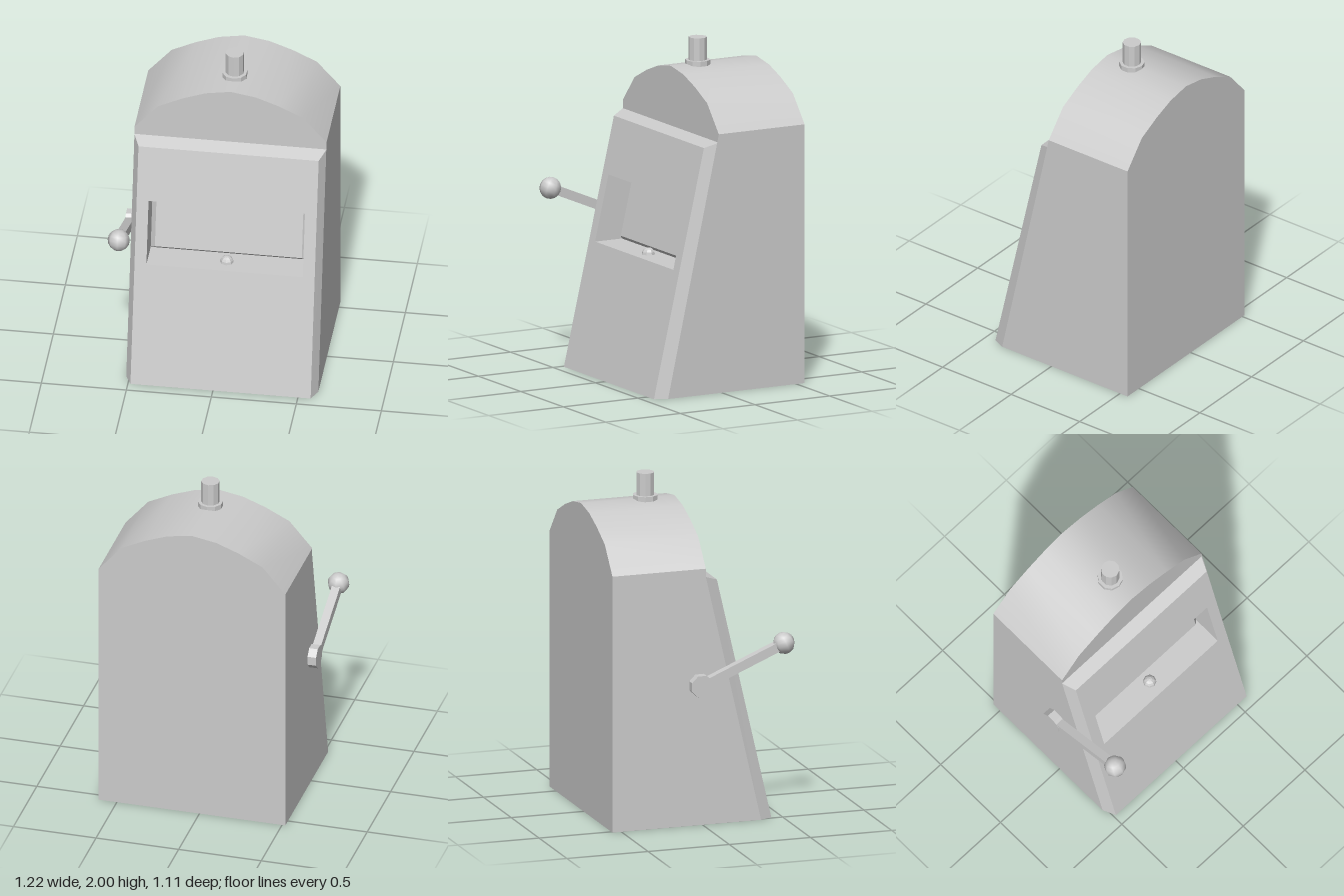
import * as THREE from 'three';

const CX = 0.045;                                  // centre line of the cabinet
const LEFT = 0.61, RIGHT = -0.52;                  // cabinet sides
const BACK = -0.555, STEP = 0.02;                  // back plane, front plane of the arch
const frontZ = (y) => 0.435 - 0.2295 * y;          // sloped front panel

const shell = new THREE.MeshStandardMaterial({ color: 0xcccccc, flatShading: true, side: THREE.DoubleSide });
const smooth = new THREE.MeshStandardMaterial({ color: 0xcccccc, side: THREE.DoubleSide });

export function createModel() {
  const model = new THREE.Group();

  const add = (name, geometry, material = shell, parent = model) => {
    const mesh = new THREE.Mesh(geometry, material);
    mesh.name = name;
    parent.add(mesh);
    return mesh;
  };

  // Flat polygons, each a convex fan of corners in counter-clockwise order
  const faces = (...polygons) => {
    const pos = [];
    for (const p of polygons) {
      for (let i = 1; i < p.length - 1; i++) pos.push(...p[0], ...p[i], ...p[i + 1]);
    }
    const g = new THREE.BufferGeometry();
    g.setAttribute('position', new THREE.Float32BufferAttribute(pos, 3));
    g.computeVertexNormals();
    return g;
  };

  // Flat shape in x, y laid onto a surface z = rule(y)
  const sheet = (shape, rule) => {
    const g = new THREE.ShapeGeometry(shape);
    const p = g.attributes.position;
    for (let i = 0; i < p.count; i++) p.setZ(i, rule(p.getY(i)));
    g.computeVertexNormals();
    return g;
  };

  const rect = (x0, y0, x1, y1) => [[x0, y0], [x1, y0], [x1, y1], [x0, y1]];
  const toPoints = (list) => list.map(([x, y]) => new THREE.Vector2(x, y));

  // Loop of quads joining two rings of corners
  const band = (a, b) => faces(...a.map((p, i) => {
    const j = (i + 1) % a.length;
    return [p, a[j], b[j], b[i]];
  }));

  // Arched top outline, from the left side over to the right
  const half = [[0.565, 1.54], [0.427, 1.7], [0.283, 1.77], [0.148, 1.82]];
  const arch = [
    ...half.map(([x, y]) => [CX + x, y]),
    [CX, 1.845],
    ...half.slice().reverse().map(([x, y]) => [CX - x, y]),
  ];

  // Back and arched front ends
  const end = (bottom) => new THREE.Shape(toPoints([[RIGHT, bottom], [LEFT, bottom], ...arch]));
  const back = sheet(end(0), () => BACK);
  back.setIndex(Array.from(back.index.array).reverse());
  back.computeVertexNormals();
  add('backPanel', back);
  add('archFront', sheet(end(1.49), () => STEP));

  // Smooth curved roof
  const roof = new THREE.BufferGeometry();
  const index = [];
  for (let i = 0; i < arch.length - 1; i++) {
    const k = i * 2;
    index.push(k, k + 1, k + 2, k + 1, k + 3, k + 2);
  }
  roof.setAttribute('position', new THREE.Float32BufferAttribute(
    arch.flatMap(([x, y]) => [x, y, STEP, x, y, BACK]), 3));
  roof.setIndex(index);
  roof.computeVertexNormals();
  add('roof', roof, smooth);

  // Side walls and front corner chamfers
  const F0 = RIGHT + 0.035, F1 = LEFT - 0.035, FT = 1.46;
  for (const [name, x, fx, flip] of [['left', LEFT, F1, false], ['right', RIGHT, F0, true]]) {
    const wall = [[x, 0, 0.36], [x, 0, BACK], [x, 1.54, BACK], [x, 1.54, STEP], [x, 1.49, STEP]];
    const chamfer = [[fx, 0, frontZ(0)], [x, 0, 0.36], [x, 1.49, STEP], [fx, FT, frontZ(FT)]];
    if (flip) { wall.reverse(); chamfer.reverse(); }
    add(name + 'Wall', faces(wall));
    add(name + 'Chamfer', faces(chamfer));
  }
  add('topChamfer', faces([
    [F0, FT, frontZ(FT)], [F1, FT, frontZ(FT)], [LEFT, 1.49, STEP], [RIGHT, 1.49, STEP],
  ]));

  // Sloped front with its window opening
  const opening = rect(-0.415, 0.74, 0.505, 1.13);
  const front = new THREE.Shape(toPoints(rect(F0, 0, F1, FT)));
  front.holes.push(new THREE.Path(toPoints(opening).reverse()));
  add('frontPanel', sheet(front, frontZ));

  // Recess walls, then a raised bevelled panel at the bottom of the recess
  const ring = (corners, offset) => corners.map(([x, y]) => [x, y, frontZ(y) + offset]);
  const inner = rect(-0.387, 0.764, 0.477, 1.106);
  add('windowRecess', band(ring(opening, -0.18), ring(opening, 0).map((p) => p)).scale(1, 1, 1));
  add('windowBevel', band(ring(opening, -0.18), ring(inner, -0.15)));
  add('windowPanel', faces(ring(inner, -0.15)));

  // Small dome on the window floor
  add('button', new THREE.SphereGeometry(0.04, 8, 4, 0, Math.PI * 2, 0, Math.PI / 2))
    .position.set(CX, 0.74, 0.17);

  // Lamp post and collar on the roof
  add('collar', new THREE.CylinderGeometry(0.074, 0.074, 0.03, 10)).position.set(CX, 1.85, -0.16);
  add('lamp', new THREE.CylinderGeometry(0.054, 0.054, 0.16, 10)).position.set(CX, 1.92, -0.16);

  // Pull lever on the right side, tilted towards the front
  const lever = new THREE.Group();
  lever.name = 'lever';
  lever.position.set(-0.546, 0.845, -0.018);
  lever.rotation.x = -Math.atan2(0.215, 0.51);
  model.add(lever);
  add('leverHub', new THREE.CylinderGeometry(0.069, 0.069, 0.052, 8).rotateZ(Math.PI / 2), shell, lever);
  add('leverArm', new THREE.BoxGeometry(0.05, 0.055, 0.54), shell, lever).position.z = 0.27;
  add('leverBall', new THREE.SphereGeometry(0.065, 8, 8), smooth, lever).position.z = 0.553;

  return model;
}
